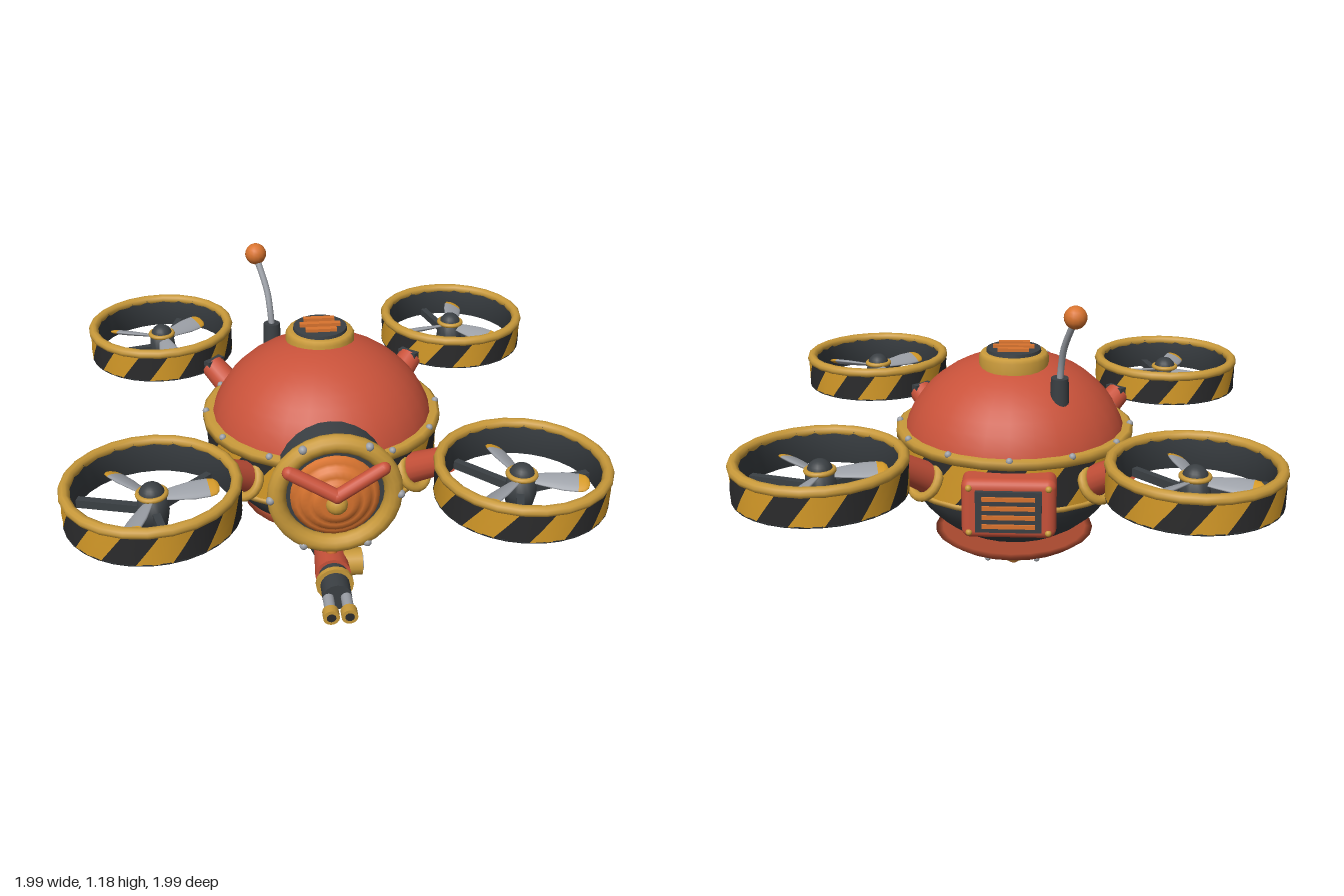
import * as THREE from 'three';
import { RoundedBoxGeometry } from 'three/addons/geometries/RoundedBoxGeometry.js';

const V = (x, y, z) => new THREE.Vector3(x, y, z);
const UP = V(0, 1, 0);

function paint(name, color) {
  const m = new THREE.MeshStandardMaterial({ color });
  m.name = name;
  return m;
}

export function createModel() {
  const red = paint('red paint', 0xc9523a), rust = paint('rust red', 0xa8492f);
  const brass = paint('brass', 0xc8993a), yellow = paint('hazard yellow', 0xd59a28);
  const black = paint('hazard black', 0x2b2b2c), dark = paint('dark metal', 0x3b4044);
  const steel = paint('steel', 0x9b9fa6), orange = paint('orange', 0xd9742f);

  const model = new THREE.Group();
  model.name = 'hoverDrone';

  const group = (name, parent = model) => {
    const g = new THREE.Group();
    g.name = name;
    parent.add(g);
    return g;
  };
  const add = (parent, name, geo, mat, x = 0, y = 0, z = 0) => {
    const m = new THREE.Mesh(geo, mat);
    m.name = name;
    m.position.set(x, y, z);
    parent.add(m);
    return m;
  };
  const ball = (parent, name, r, mat, x, y, z) =>
    add(parent, name, new THREE.SphereGeometry(r, 14, 10), mat, x, y, z);
  // tapered rod between two points
  const rod = (parent, name, a, b, r0, r1, mat, sides = 16) => {
    const d = b.clone().sub(a);
    const m = add(parent, name, new THREE.CylinderGeometry(r1, r0, d.length(), sides), mat);
    m.position.copy(a).addScaledVector(d, 0.5);
    m.quaternion.setFromUnitVectors(UP, d.normalize());
    return m;
  };
  const lathe = (pts, sides = 24) =>
    new THREE.LatheGeometry(pts.map(p => new THREE.Vector2(p[0], p[1])), sides);
  const flatRing = (parent, name, r, tube, mat, y) => {
    const m = add(parent, name, new THREE.TorusGeometry(r, tube, 10, 24), mat, 0, y, 0);
    m.rotation.x = Math.PI / 2;
    return m;
  };
  // cylinder wall with slanted two-colour stripes
  const stripes = (r, h, pairs, slant) => {
    const cols = pairs * 4, rows = 4;
    const g = new THREE.CylinderGeometry(r, r, h, cols, rows, true);
    const p = g.attributes.position, n = g.attributes.normal, v = V(0, 0, 0);
    for (let i = 0; i < p.count; i++) {
      const turn = slant * p.getY(i) / h;
      for (const a of [p, n]) {
        v.fromBufferAttribute(a, i).applyAxisAngle(UP, turn);
        a.setXYZ(i, v.x, v.y, v.z);
      }
    }
    g.clearGroups();
    for (let c = 0; c < cols; c++) g.addGroup(c * rows * 6, rows * 6, (c >> 1) % 2);
    return g;
  };

  // body: dome, lower hull and hazard belt, slightly narrower in depth
  const body = group('body');
  body.scale.z = 0.94;
  const cut = Math.PI * 0.47;
  add(body, 'dome', new THREE.SphereGeometry(1, 28, 12, 0, Math.PI * 2, 0, cut), red, 0, 0.5, 0).scale.set(0.462, 0.4, 0.475);
  add(body, 'lowerHull', new THREE.SphereGeometry(1, 28, 12, 0, Math.PI * 2, cut, Math.PI - cut), dark, 0, 0.5, 0).scale.set(0.46, 0.4, 0.465);
  add(body, 'hazardBelt', stripes(0.474, 0.19, 10, 0.34), [yellow, black], 0, 0.48, 0);
  add(body, 'beltTopRim', lathe([[0.44, 0.565], [0.488, 0.565], [0.488, 0.595], [0.475, 0.602], [0.44, 0.602]], 28), brass);
  add(body, 'beltBottomRim', lathe([[0.43, 0.375], [0.482, 0.378], [0.482, 0.395], [0.46, 0.4]], 28), brass);
  for (let i = 0; i < 12; i++) {
    const a = i * Math.PI / 6;
    ball(body, 'beltRivet', 0.014, steel, 0.475 * Math.sin(a), 0.6, 0.475 * Math.cos(a));
  }

  // belly plate and drain cap
  const belly = group('bellyPlate');
  belly.position.z = -0.05;
  add(belly, 'bellyDish', lathe([[0, 0.05], [0.1, 0.056], [0.2, 0.082], [0.28, 0.12], [0.33, 0.155], [0.3, 0.157], [0, 0.157]]), rust).scale.z = 0.95;
  add(belly, 'bellyCap', new THREE.CylinderGeometry(0.058, 0.045, 0.035, 16), brass, 0, 0.042, -0.04);
  ball(belly, 'bellyLamp', 0.03, orange, 0, 0.03, -0.04);
  for (let i = 0; i < 6; i++) {
    const a = (i + 0.5) * Math.PI / 3;
    ball(belly, 'bellyRivet', 0.012, steel, 0.2 * Math.sin(a), 0.08, 0.19 * Math.cos(a));
  }

  // eye, facing +z
  const eye = group('eye');
  eye.position.y = 0.515;
  rod(eye, 'eyeBarrel', V(0, 0, 0.3), V(0, 0, 0.525), 0.215, 0.215, dark, 28);
  add(eye, 'eyeRim', new THREE.TorusGeometry(0.222, 0.036, 12, 28), brass, 0, 0, 0.54);
  const lens = add(eye, 'eyeLens', lathe([[0.17, 0.5], [0.17, 0.54], [0.15, 0.55], [0.135, 0.548], [0.13, 0.57],
    [0.105, 0.578], [0.09, 0.574], [0.085, 0.592], [0.06, 0.598], [0, 0.598]], 28), orange, 0, -0.01, 0);
  lens.rotation.x = Math.PI / 2;
  ball(eye, 'eyePupil', 0.043, brass, 0, -0.01, 0.59);
  for (let i = 0; i < 6; i++) {
    const a = i * Math.PI / 3;
    ball(eye, 'rimRivet', 0.017, steel, 0.245 * Math.cos(a), 0.245 * Math.sin(a), 0.562);
  }
  for (const s of [-1, 1]) {
    rod(eye, 'brow', V(s * 0.175, 0.125, 0.575), V(0, 0.035, 0.61), 0.027, 0.027, red);
    ball(eye, 'browEnd', 0.027, red, s * 0.175, 0.125, 0.575);
  }
  ball(eye, 'browMiddle', 0.028, red, 0, 0.035, 0.61);

  // top hatch
  const hatch = group('topHatch');
  hatch.position.z = -0.06;
  add(hatch, 'hatchRing', lathe([[0.14, 0.86], [0.14, 0.905], [0.13, 0.92], [0.11, 0.922], [0, 0.922]]), brass);
  add(hatch, 'hatchLid', new THREE.CylinderGeometry(0.108, 0.112, 0.03, 24), dark, 0, 0.92, 0);
  [0.125, 0.165, 0.125].forEach((w, i) =>
    add(hatch, 'hatchSlat', new THREE.BoxGeometry(w, 0.022, 0.024), orange, 0, 0.937, (i - 1) * 0.052));

  // antenna
  const antenna = group('antenna');
  rod(antenna, 'antennaBase', V(-0.185, 0.76, -0.24), V(-0.185, 0.87, -0.245), 0.038, 0.034, dark);
  const stem = new THREE.CatmullRomCurve3([V(-0.185, 0.85, -0.245), V(-0.19, 0.92, -0.255), V(-0.2, 1.0, -0.285), V(-0.24, 1.13, -0.355)]);
  add(antenna, 'antennaStem', new THREE.TubeGeometry(stem, 16, 0.013, 10), steel);
  ball(antenna, 'antennaTip', 0.044, orange, -0.24, 1.137, -0.357);

  // rear vent
  const vent = group('rearVent');
  vent.position.set(0, 0.43, -0.43);
  add(vent, 'ventHousing', new RoundedBoxGeometry(0.36, 0.24, 0.19, 3, 0.035), red);
  add(vent, 'ventPanel', new THREE.BoxGeometry(0.25, 0.165, 0.03), dark, 0, 0, -0.095);
  for (let i = 0; i < 4; i++)
    add(vent, 'ventSlat', new THREE.BoxGeometry(0.2, 0.016, 0.02), orange, 0, (i - 1.5) * 0.037, -0.108);
  for (const x of [-0.15, 0.15]) for (const y of [-0.09, 0.09]) ball(vent, 'ventRivet', 0.013, brass, x, y, -0.092);

  // chin gun
  const gun = group('chinGun');
  gun.position.y = 0.1;
  const along = (name, z0, z1, r0, r1, mat, x = 0) => rod(gun, name, V(x, 0, z0), V(x, 0, z1), r0, r1, mat);
  ball(gun, 'gunPivot', 0.075, dark, 0, -0.005, 0.27);
  rod(gun, 'gunMount', V(0, 0, 0.24), V(0, 0.1, 0.16), 0.055, 0.07, dark);
  along('gunBody', 0.3, 0.49, 0.06, 0.072, red);
  add(gun, 'gunStrap', new RoundedBoxGeometry(0.16, 0.035, 0.12, 2, 0.012), brass, 0, 0.06, 0.31);
  ball(gun, 'gunLamp', 0.024, orange, 0, 0.07, 0.42);
  along('gunSleeve', 0.48, 0.635, 0.058, 0.058, dark);
  along('gunCollar', 0.535, 0.555, 0.075, 0.075, brass);
  for (const x of [-0.035, 0.035]) {
    along('gunBarrel', 0.62, 0.73, 0.022, 0.022, steel, x);
    along('gunMuzzle', 0.715, 0.755, 0.032, 0.032, brass, x);
    along('gunBore', 0.75, 0.757, 0.018, 0.018, black, x);
  }
  rod(gun, 'gunDrum', V(0.05, -0.01, 0.395), V(0.125, -0.01, 0.395), 0.056, 0.056, brass);
  rod(gun, 'gunDrumCap', V(0.12, -0.01, 0.395), V(0.13, -0.01, 0.395), 0.038, 0.038, steel);

  // four arms with ducted rotors; the last number turns the propeller
  const corners = [[-1, -1, 78], [1, -1, 45], [-1, 1, 108], [1, 1, 16]];
  for (const [sx, sz, spin] of corners) {
    const at = (d, y) => V(sx * d, y, sz * d);
    const arm = group('arm');
    rod(arm, 'armTube', at(0.27, 0.43), at(0.445, 0.585), 0.066, 0.052, red);
    const collar = add(arm, 'armCollar', new THREE.TorusGeometry(0.072, 0.019, 10, 20), brass);
    collar.position.copy(at(0.335, 0.475));
    collar.quaternion.setFromUnitVectors(V(0, 0, 1), at(0.175, 0.155).normalize());
    const clamp = add(arm, 'armClamp', new THREE.BoxGeometry(0.09, 0.06, 0.06), dark);
    clamp.position.copy(at(0.445, 0.59));
    clamp.rotation.y = sx * sz * Math.PI / 4;

    const rotor = group('rotor');
    rotor.position.copy(at(0.67, 0));
    add(rotor, 'ductStripes', stripes(0.319, 0.125, 8, 0.3), [yellow, black], 0, 0.628, 0);
    add(rotor, 'ductInside', lathe([[0.285, 0.69], [0.285, 0.562], [0.319, 0.562], [0.319, 0.568]], 32), dark);
    flatRing(rotor, 'ductRim', 0.304, 0.021, brass, 0.686);

    // struts, one pointing to the body
    const inward = Math.atan2(-sz, -sx);
    for (let i = 0; i < 3; i++) {
      const a = inward + i * Math.PI * 2 / 3;
      const strut = add(rotor, 'strut', new THREE.BoxGeometry(0.26, 0.032, 0.028), dark, 0.165 * Math.cos(a), 0.578, 0.165 * Math.sin(a));
      strut.rotation.y = -a;
    }
    // motor and hub
    add(rotor, 'motor', lathe([[0, 0.498], [0.046, 0.5], [0.06, 0.57], [0.052, 0.64], [0, 0.64]], 14), dark);
    flatRing(rotor, 'hubRing', 0.05, 0.01, brass, 0.645);
    add(rotor, 'hubCap', new THREE.SphereGeometry(0.048, 16, 8, 0, Math.PI * 2, 0, Math.PI / 2), dark, 0, 0.64, 0);

    // propeller blades with painted tips
    for (let i = 0; i < 3; i++) {
      const hinge = group('blade', rotor);
      hinge.position.y = 0.63;
      hinge.rotation.y = -(spin + i * 120) * Math.PI / 180;
      const blade = group('bladeShape', hinge);
      blade.rotation.set(0.4, 0, -Math.PI / 2);
      blade.rotation.order = 'XYZ';
      blade.scale.set(0.25, 1, 1);
      add(blade, 'bladePanel', lathe([[0.02, 0.03], [0.03, 0.08], [0.041, 0.15], [0.041, 0.205]], 16), steel);
      add(blade, 'bladeTip', lathe([[0.041, 0.205], [0.036, 0.228], [0.022, 0.241], [0, 0.246]], 16), yellow);
    }
  }
  return model;
}
